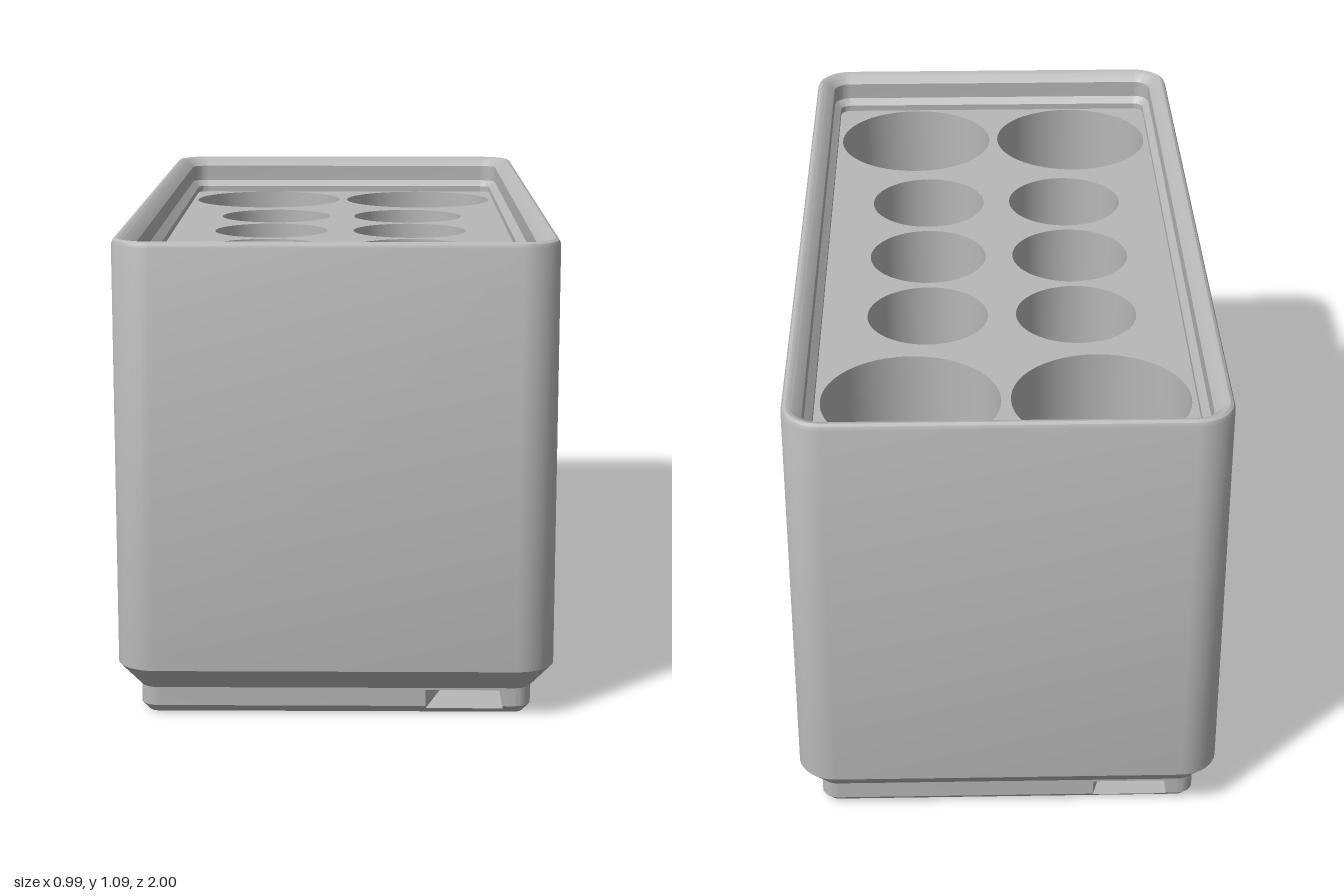
import * as THREE from 'three';
import { mergeGeometries, toCreasedNormals } from 'three/addons/utils/BufferGeometryUtils.js';

const HALF_X = 0.497, HALF_Z = 1, CORNER = 0.09;
const BODY_Y = 0.117, FLOOR_Y = 0.99;
const FOOT_CORE = 0.407, FOOT_R = 0.038, FOOT_Z = 0.503;

// Points along an arc, angles in degrees
function arc(cx, cy, r, from, to, n = 10) {
  const pts = [];
  for (let i = 0; i <= n; i++) {
    const a = THREE.MathUtils.degToRad(from + (to - from) * i / n);
    pts.push(new THREE.Vector2(cx + r * Math.cos(a), cy + r * Math.sin(a)));
  }
  return pts;
}

// Counter-clockwise rounded rectangle
function roundedRect(hx, hy, r) {
  const x = hx - r, y = hy - r;
  return [...arc(x, y, r, 0, 90), ...arc(-x, y, r, 90, 180),
    ...arc(-x, -y, r, 180, 270), ...arc(x, -y, r, 270, 360)];
}

// Quarter-turn copies of a point list
function quarterTurn(pts, k) {
  return pts.map(p => p.clone().rotateAround(new THREE.Vector2(), k * Math.PI / 2));
}

// Outer wall running over the rounded rim and down the stepped stacking lip
function shellGeometry() {
  const profile = [[0, BODY_Y], [0, 1.077], [0.004, 1.086], [0.011, 1.09], [0.018, 1.089],
    [0.0255, 1.0855], [0.0455, 1.0655], [0.0455, 1.0225], [0.062, 1.006], [0.062, FLOOR_Y]];
  const rings = profile.map(([d, y]) =>
    roundedRect(HALF_X - d, HALF_Z - d, CORNER - d).map(p => [p.x, y, p.y]));
  const pos = [], n = rings[0].length;
  for (let j = 0; j < rings.length - 1; j++) {
    for (let i = 0; i < n; i++) {
      const k = (i + 1) % n;
      const a = rings[j][i], b = rings[j][k], c = rings[j + 1][k], d = rings[j + 1][i];
      pos.push(...a, ...d, ...b, ...b, ...d, ...c);
    }
  }
  const geo = new THREE.BufferGeometry();
  geo.setAttribute('position', new THREE.Float32BufferAttribute(pos, 3));
  return toCreasedNormals(geo, 0.5);
}

// Foot outline with four pinwheel magnet pockets open to the sides
function pocketOutline() {
  const h = FOOT_CORE + FOOT_R, m = 0.311, r = 0.07, w = 0.03;
  const a = THREE.MathUtils.radToDeg(Math.acos(w / r));
  const side = [
    ...arc(FOOT_CORE, FOOT_CORE, FOOT_R, 0, 90),
    new THREE.Vector2(m + r, h),
    ...arc(m, m, r, 0, -a, 6),
    ...arc(m, 0.145, w, 0, -180, 8),
    ...arc(m, m, r, a - 180, -180, 6),
    new THREE.Vector2(0.205, h),
  ];
  return new THREE.Shape([0, 1, 2, 3].flatMap(k => quarterTurn(side, k)));
}

// Plain foot outline, optionally with the four push-out slots
function footOutline(slots) {
  const h = FOOT_CORE + FOOT_R;
  const shape = new THREE.Shape(roundedRect(h, h, FOOT_R));
  if (slots) {
    const slot = [new THREE.Vector2(0.341, 0.25), ...arc(0.311, 0.145, 0.03, 0, -180, 8),
      new THREE.Vector2(0.281, 0.25)];
    for (let k = 0; k < 4; k++) shape.holes.push(new THREE.Path(quarterTurn(slot, k)));
  }
  return shape;
}

// One horizontal slice of a foot, its edge drawn in or out to the foot profile
function footLayer(shape, y0, y1, r0, r1) {
  const geo = new THREE.ExtrudeGeometry(shape, { depth: y1 - y0, bevelEnabled: false });
  geo.rotateX(Math.PI / 2).translate(0, y1, 0);
  const p = geo.attributes.position, mid = (y0 + y1) / 2;
  for (let i = 0; i < p.count; i++) {
    const s = (p.getY(i) > mid ? r1 : r0) / FOOT_R;
    const fit = v => Math.sign(v) * (Math.abs(v) > FOOT_CORE ? FOOT_CORE + (Math.abs(v) - FOOT_CORE) * s : Math.abs(v));
    p.setXYZ(i, fit(p.getX(i)), p.getY(i), fit(p.getZ(i)));
  }
  return geo;
}

function footGeometry() {
  const pocket = pocketOutline(), plain = footOutline(false);
  return toCreasedNormals(mergeGeometries([
    footLayer(footOutline(true), 0, 0.0115, 0.02, 0.031),
    footLayer(pocket, 0.0115, 0.019, 0.031, FOOT_R),
    footLayer(pocket, 0.019, 0.057, FOOT_R, FOOT_R),
    footLayer(plain, 0.057, 0.062, FOOT_R, FOOT_R),
    footLayer(plain, 0.062, BODY_Y, FOOT_R, CORNER),
  ]), 0.5);
}

export function createModel() {
  const model = new THREE.Group();
  model.name = 'storageBin';
  const grey = new THREE.MeshStandardMaterial({ color: 0xb8b8b8 });
  grey.name = 'light grey';
  const add = (name, geo) => {
    const mesh = new THREE.Mesh(geo, grey);
    mesh.name = name;
    model.add(mesh);
    return mesh;
  };

  add('outerShell', shellGeometry());

  // Flat underside between the feet
  const base = new THREE.Shape(roundedRect(HALF_X, HALF_Z, CORNER));
  add('underside', new THREE.ShapeGeometry(base).rotateX(Math.PI / 2).translate(0, BODY_Y, 0));

  // Well layout: x, z, radius, depth
  const wells = [];
  for (const x of [-1, 1]) {
    for (const z of [-0.317, 0, 0.317]) wells.push([x * 0.18, z, 0.146, 0.7]);
    for (const z of [-0.725, 0.725]) wells.push([x * 0.217, z, 0.206, 0.7]);
  }

  // Top deck pierced by the wells
  const deck = new THREE.Shape(roundedRect(HALF_X - 0.062, HALF_Z - 0.062, CORNER - 0.062));
  for (const [x, z, r] of wells) {
    deck.holes.push(new THREE.Path(arc(x, -z, r, 0, -360, 64).slice(0, -1)));
  }
  add('deck', new THREE.ShapeGeometry(deck).rotateX(-Math.PI / 2).translate(0, FLOOR_Y, 0));

  // Round wells, facing inward
  for (const [x, z, r, depth] of wells) {
    const profile = [[r, 0], [r, -depth], [0, -depth]].map(([a, b]) => new THREE.Vector2(a, b));
    const geo = toCreasedNormals(new THREE.LatheGeometry(profile, 64), 0.5);
    add('well', geo).position.set(x, FLOOR_Y, z);
  }

  // Two chamfered feet
  const foot = footGeometry();
  add('frontFoot', foot).position.z = FOOT_Z;
  add('backFoot', foot).position.z = -FOOT_Z;

  return model;
}
